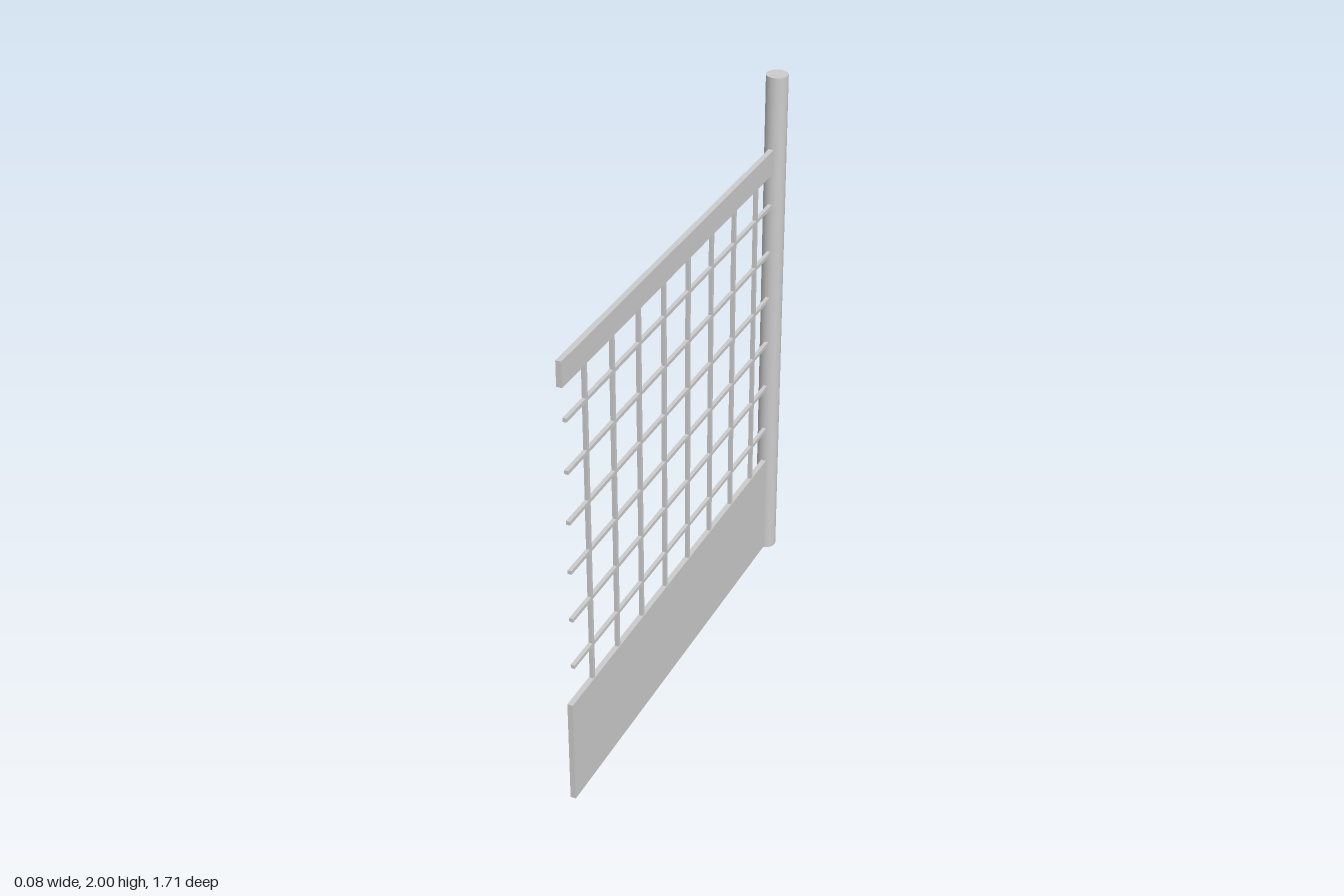
import * as THREE from 'three';

export function createModel() {
  const model = new THREE.Group();
  const material = new THREE.MeshStandardMaterial({ color: 0xcccccc });

  // Box spanning y0..y1 and z0..z1, centred on x = 0
  function slab(name, thickness, y0, y1, z0, z1) {
    const mesh = new THREE.Mesh(new THREE.BoxGeometry(thickness, y1 - y0, z1 - z0), material);
    mesh.position.set(0, (y0 + y1) / 2, (z0 + z1) / 2);
    mesh.name = name;
    model.add(mesh);
  }

  // Round post at the back end
  const post = new THREE.Mesh(new THREE.CylinderGeometry(0.04, 0.04, 2, 32), material);
  post.position.set(0, 1, -0.815);
  post.name = 'post';
  model.add(post);

  // Solid lower board and top rail
  const front = 0.855, back = -0.777;
  slab('lowerBoard', 0.02, 0.005, 0.41, back, front);
  slab('topRail', 0.02, 1.635, 1.727, back, front);

  // Grid of thin bars between board and rail
  const bar = 0.014, pitch = 0.1905;
  for (let i = 0; i < 6; i++) {
    const y = 0.551 + i * pitch;
    slab('horizontalBar', bar, y - bar / 2, y + bar / 2, back, 0.828);
  }
  for (let i = 0; i < 8; i++) {
    const z = -0.642 + i * pitch;
    slab('verticalBar', bar, 0.41, 1.635, z - bar / 2, z + bar / 2);
  }

  return model;
}
